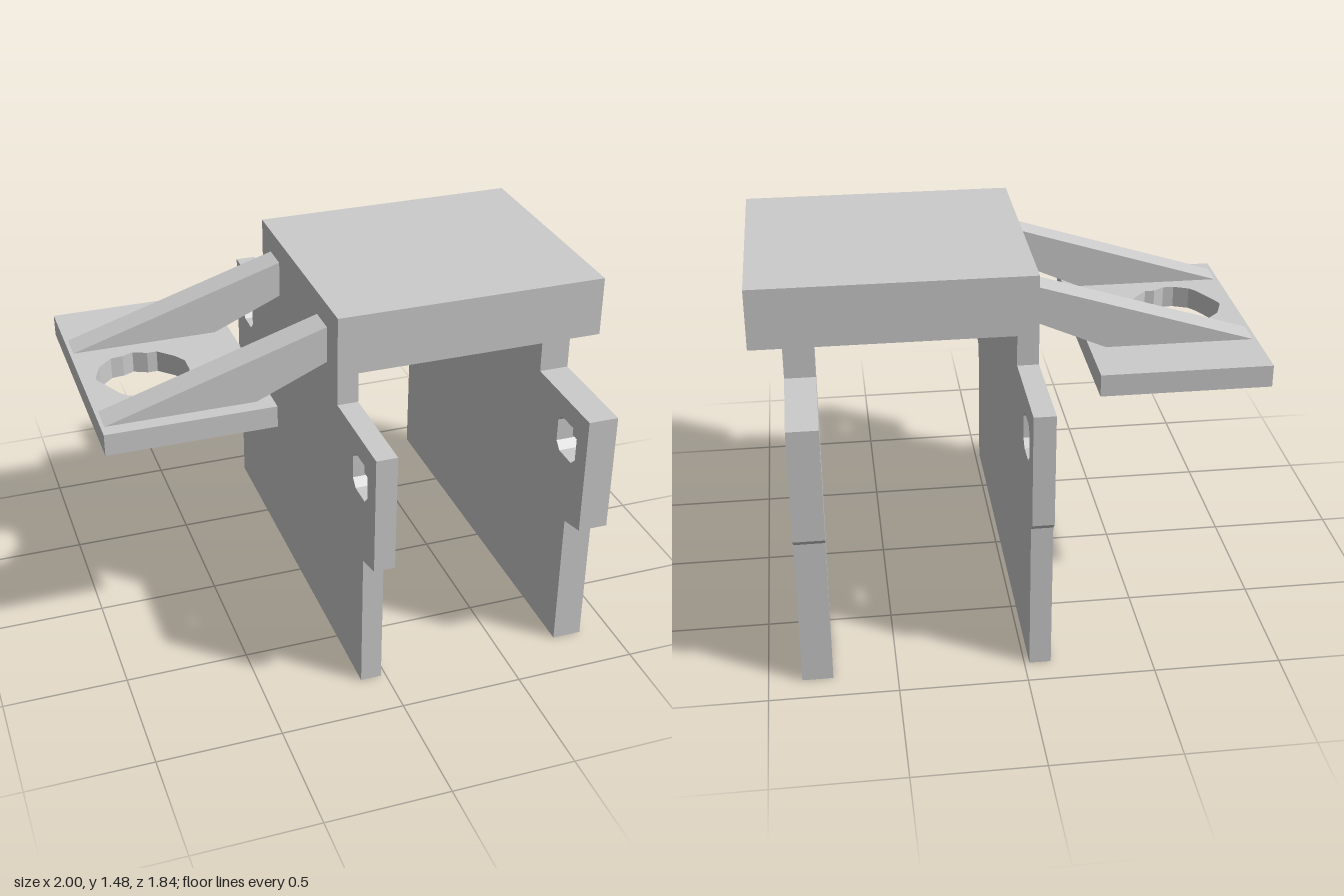
import * as THREE from 'three';

const material = new THREE.MeshStandardMaterial({ color: 0xcccccc, flatShading: true });
const points = (list) => list.map(([a, b]) => new THREE.Vector2(a, b));

// Straight prism from an outline with optional holes
function prism(outline, depth, holes = []) {
  const shape = new THREE.Shape(points(outline));
  for (const hole of holes) shape.holes.push(new THREE.Path(points(hole)));
  return new THREE.ExtrudeGeometry(shape, { depth, bevelEnabled: false });
}

export function createModel() {
  const model = new THREE.Group();
  const add = (name, geometry, x = 0, y = 0, z = 0) => {
    const mesh = new THREE.Mesh(geometry, material);
    mesh.name = name;
    mesh.position.set(x, y, z);
    model.add(mesh);
  };

  // Thick top block
  add('topBlock', new THREE.BoxGeometry(1.105, 0.245, 0.98), 0.4475, 1.3575, 0);

  // Two upright side plates, outline given as (-z, y)
  const plate = [
    [-0.92, 1.11], [-0.92, 0.62], [-0.8, 0.59], [-0.8, 0], [0.89, 0], [0.89, 0.62],
    [0.92, 0.65], [0.92, 1.11], [0.49, 1.11], [0.49, 1.235], [-0.49, 1.235], [-0.49, 1.11],
  ];
  const frontHole = [
    [-0.835, 0.895], [-0.805, 0.865], [-0.705, 0.865], [-0.675, 0.895], [-0.675, 0.99],
    [-0.705, 1.02], [-0.8, 1.02], [-0.8, 0.99], [-0.835, 0.99],
  ];
  const backHole = [
    [0.675, 0.895], [0.705, 0.865], [0.8, 0.865], [0.83, 0.895],
    [0.83, 0.99], [0.8, 1.02], [0.705, 1.02], [0.675, 0.99],
  ];
  for (const [name, x, thickness] of [['rightPlate', -0.105, 0.085], ['leftPlate', 0.75, 0.12]]) {
    add(name, prism(plate, thickness, [frontHole, backHole]).rotateY(Math.PI / 2), x);
  }

  // Side shelf with a rough round hole, outline given as (x, -z)
  const shelf = [[-1, -0.425], [-0.325, -0.425], [-0.325, 0.615], [-1, 0.615]];
  const shelfHole = [
    [-0.94, 0.02], [-0.91, 0.1], [-0.85, 0.16], [-0.8, 0.165], [-0.755, 0.185], [-0.7, 0.16],
    [-0.66, 0.16], [-0.6, 0.1], [-0.57, 0.05], [-0.57, -0.03], [-0.6, -0.09], [-0.66, -0.155],
    [-0.7, -0.155], [-0.745, -0.185], [-0.79, -0.185], [-0.85, -0.16], [-0.875, -0.13], [-0.94, 0],
  ];
  add('shelf', prism(shelf, 0.09, [shelfHole]).rotateX(-Math.PI / 2), 0, 1.02, 0);

  // Sloping ribs joining the shelf to the block
  const rib = [[-0.985, 1.11], [-0.39, 1.11], [-0.105, 1.235], [-0.105, 1.385]];
  add('backRib', prism(rib, 0.12), 0, 0, -0.37);
  add('frontRib', prism(rib, 0.12), 0, 0, 0.245);

  return model;
}
